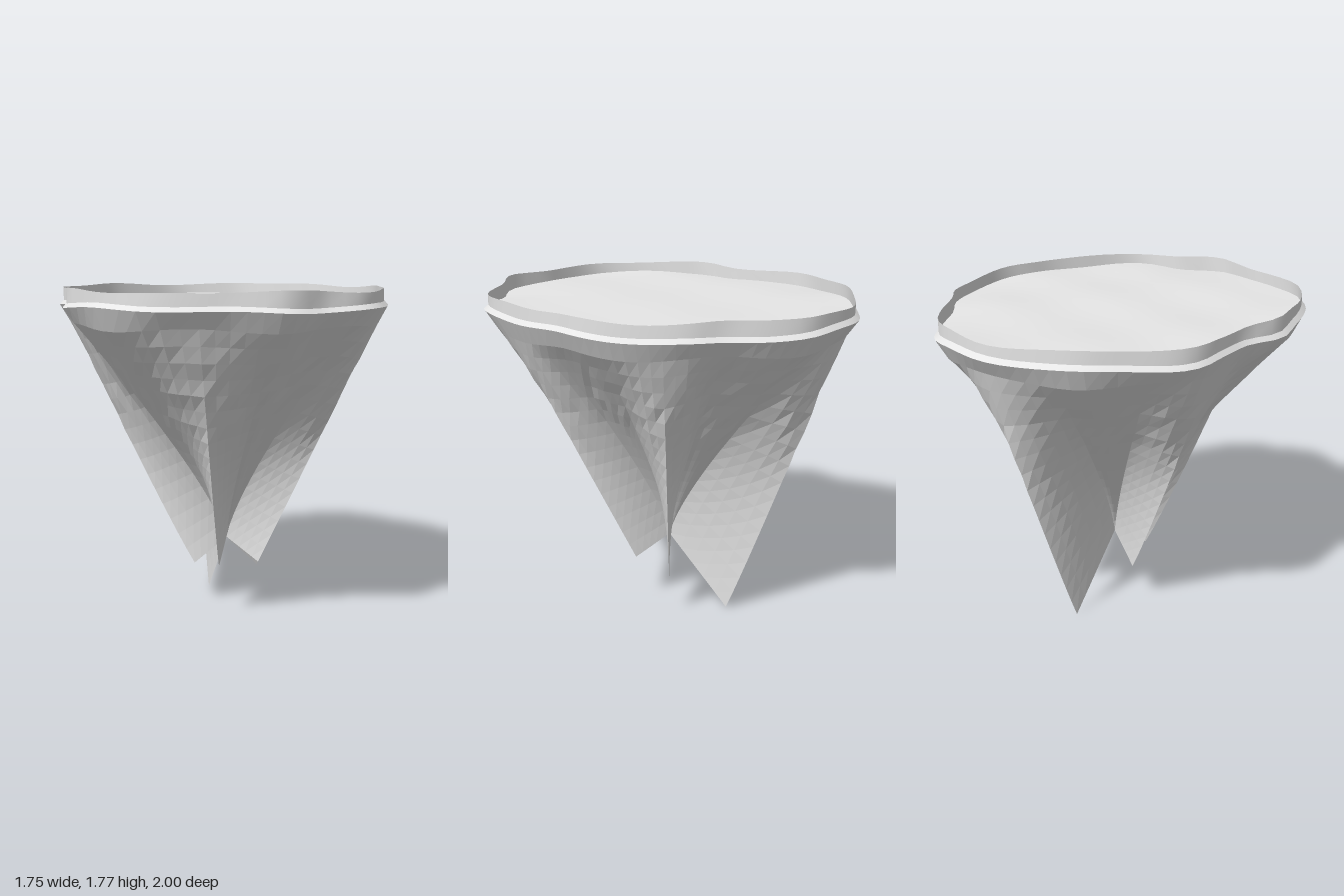
import * as THREE from 'three';

// Plan outline of the island, as x, z pairs
const OUTLINE = [
  0.87, 0.05, 0.83, 0.2, 0.79, 0.36, 0.7, 0.55, 0.58, 0.75, 0.5, 0.83, 0.42, 0.87, 0.25, 0.9,
  0.14, 0.96, 0.03, 1, -0.1, 0.97, -0.22, 0.93, -0.4, 0.89, -0.6, 0.81, -0.72, 0.67,
  -0.79, 0.53, -0.84, 0.36, -0.88, 0.2, -0.87, 0.13, -0.82, 0, -0.82, -0.2, -0.82, -0.4,
  -0.78, -0.5, -0.63, -0.67, -0.46, -0.83, -0.2, -0.95, -0.08, -0.99, 0.03, -1, 0.2, -0.97,
  0.38, -0.91, 0.5, -0.79, 0.63, -0.59, 0.74, -0.47, 0.82, -0.3, 0.87, -0.1,
];

// Lower tips of the five rock fins, in order round the axis; bend is the curve of the outer edge
const FINS = [
  { tip: [0.23, 0.18, -0.1], bend: 1.15 },
  { tip: [0.16, 0.27, 0.14], bend: 1.0 },
  { tip: [-0.07, 0.27, 0.17], bend: 0.92 },
  { tip: [-0.15, 0.235, -0.05], bend: 0.95 },
  { tip: [0.01, 0, -0.345], bend: 0.96 },
];
const HUB_X = 0.02, HUB_Y = 0.385, SHOULDER_Y = 1.58, SHOULDER = 0.94;
const HALF = 8, FOOT = 0.625; // columns per half fin, and where the fin meets the core
const TAU = Math.PI * 2;
const { lerp, smoothstep } = THREE.MathUtils;

const points = [];
for (let i = 0; i < OUTLINE.length; i += 2) points.push(new THREE.Vector3(OUTLINE[i], 0, OUTLINE[i + 1]));
const samples = new THREE.CatmullRomCurve3(points, true).getPoints(900);

// Outline radius in a given direction
function radiusAt(angle) {
  const c = Math.cos(angle), s = Math.sin(angle);
  let best = -2, r = 1;
  for (const p of samples) {
    const len = Math.hypot(p.x, p.z), d = (p.x * c + p.z * s) / len;
    if (d > best) { best = d; r = len; }
  }
  return r;
}

// Repeatable roughness between -1 and 1
function rough(a, b) {
  const v = Math.sin(a * 127.1 + b * 311.7) * 43758.5453;
  return (v - Math.floor(v)) * 2 - 1;
}

// Columns run from each fin's crest down its sides and across the channels between fins
function makeColumns() {
  const angles = FINS.map(({ tip }) => Math.atan2(tip[2], tip[0]));
  for (let i = 1; i < 5; i++) while (angles[i] < angles[i - 1]) angles[i] += TAU;
  const columns = [];
  FINS.forEach((fin, i) => {
    const crest = angles[i];
    const before = (crest + (i ? angles[i - 1] : angles[4] - TAU)) / 2;
    const after = (crest + (i < 4 ? angles[i + 1] : angles[0] + TAU)) / 2;
    for (let k = -HALF; k < HALF; k++) {
      const u = Math.abs(k) / HALF;
      const valley = k < 0 ? before : after;
      const angle = lerp(crest, valley, u);
      const foot = lerp(crest, valley, Math.max(u, FOOT));
      columns.push({
        fin, crest, angle, foot, side: Math.min(1, u / FOOT),
        r: radiusAt(angle), crestR: radiusAt(crest), footR: radiusAt(foot),
      });
    }
  });
  return columns;
}

// Surface through closed rows of points; flat gives separate facets
function skin(rows, flat) {
  const n = rows[0].length, index = [];
  for (let i = 0; i < rows.length - 1; i++) {
    for (let j = 0; j < n; j++) {
      const a = i * n + j, b = i * n + (j + 1) % n;
      index.push(a, a + n, b, b, a + n, b + n);
    }
  }
  let geometry = new THREE.BufferGeometry();
  geometry.setAttribute('position', new THREE.Float32BufferAttribute(rows.flat(2), 3));
  geometry.setIndex(index);
  if (flat) geometry = geometry.toNonIndexed();
  geometry.computeVertexNormals();
  return geometry;
}

export function createModel() {
  const model = new THREE.Group();
  model.name = 'floatingIsland';
  const stone = new THREE.MeshStandardMaterial({ color: 0xe6e6e6, side: THREE.DoubleSide });
  stone.name = 'paleStone';
  const columns = makeColumns();

  const add = (name, rows, flat) => {
    const mesh = new THREE.Mesh(skin(rows, flat), stone);
    mesh.name = name;
    model.add(mesh);
  };
  const ring = (scale, height) => columns.map(({ angle, r }) =>
    [Math.cos(angle) * r * scale, height(angle), Math.sin(angle) * r * scale]);

  const rimY = (a) => 1.67 + 0.007 * Math.sin(3 * a + 0.5) + 0.005 * Math.sin(8 * a);
  const ledgeY = (a) => rimY(a) + 0.022;
  const wallY = (a) => 1.756 + 0.006 * Math.sin(5 * a) + 0.004 * Math.sin(9 * a + 1);

  // Underside: a tapering core with five thin fins, which broaden upwards into the full outline
  const rockRows = [];
  const STEPS = 16;
  for (let i = 0; i <= STEPS; i++) {
    const s = i / STEPS;
    rockRows.push(columns.map((c, j) => {
      const tip = c.fin.tip;
      const ridge = lerp(Math.hypot(tip[0], tip[2]), c.crestR * SHOULDER, s ** c.fin.bend);
      const core = c.footR * SHOULDER * s ** 1.25;
      // Straight-sided fin near the tip, rounded buttress near the rim
      const finX = lerp(Math.cos(c.crest) * ridge, Math.cos(c.foot) * core, c.side);
      const finZ = lerp(Math.sin(c.crest) * ridge, Math.sin(c.foot) * core, c.side);
      const full = c.r * lerp(ridge / c.crestR, core / c.footR, smoothstep(c.side, 0.25, 1));
      const swell = smoothstep(s, 0.4, 1);
      const bump = 1 + 0.014 * rough(i, j) * swell * (1 - s) * 4;
      const y = lerp(lerp(tip[1], HUB_Y, c.side), SHOULDER_Y + 0.012 * Math.sin(7 * c.angle), s);
      return [
        lerp(finX, Math.cos(c.angle) * full, swell) * bump + HUB_X * (1 - s) * c.side, y,
        lerp(finZ, Math.sin(c.angle) * full, swell) * bump,
      ];
    }));
  }
  rockRows.push(ring(1, rimY));
  add('rockUnderside', rockRows, true);

  // Sloping ledge and the thin upright wall standing on it
  add('rimLedge', [ring(1, rimY), ring(0.975, ledgeY)], false);
  add('rimWall', [ring(0.975, ledgeY), ring(0.975, wallY)], false);

  // Gently uneven ground inside the wall
  const groundRows = [];
  for (let i = 0; i <= 14; i++) {
    const k = 1 - i / 14;
    groundRows.push(columns.map(({ angle, r }) => {
      const x = Math.cos(angle) * r * 0.975 * k, z = Math.sin(angle) * r * 0.975 * k;
      const bump = 0.003 * (Math.sin(7 * x + 4 * z) + Math.sin(11 * z - 3 * x + 1));
      return [x, lerp(1.695 + bump, ledgeY(angle), k ** 6), z];
    }));
  }
  add('ground', groundRows, false);

  return model;
}
